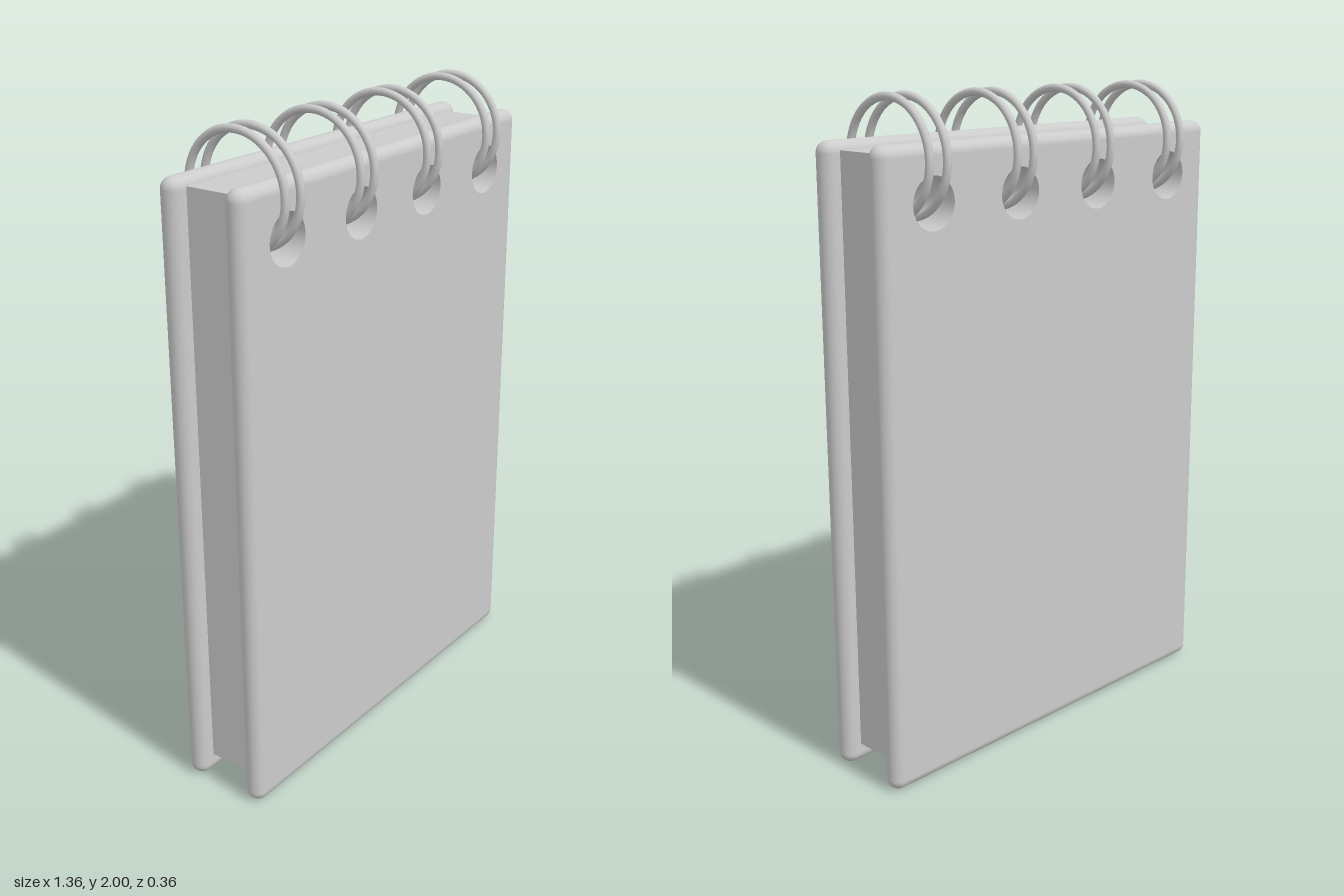
import * as THREE from 'three';

const mat = new THREE.MeshStandardMaterial({ color: 0xcccccc, side: THREE.DoubleSide });
const HOLES = [-0.495, -0.165, 0.165, 0.495];
const HOLE_Y = 1.71, HOLE_R = 0.075;
const COVER_W = 0.68, COVER_H = 1.872, R = 0.034, COVER_Z = 0.112;

function add(parent, name, geometry) {
  const mesh = new THREE.Mesh(geometry, mat);
  mesh.name = name;
  parent.add(mesh);
  return mesh;
}

// Rectangle with the row of ring holes punched through it
function punchedRect(x, y0, y1) {
  const s = new THREE.Shape();
  s.moveTo(-x, y0).lineTo(x, y0).lineTo(x, y1).lineTo(-x, y1).closePath();
  for (const hx of HOLES) s.holes.push(new THREE.Path().absarc(hx, HOLE_Y, HOLE_R, 0, Math.PI * 2, true));
  return s;
}

// Half-round border swept around the cover, with ball-shaped corners
function rimGeometry(x, y0, y1) {
  const corners = [[x, y1], [-x, y1], [-x, y0], [x, y0]];
  const steps = 8, rows = 12, cols = 4 * (steps + 1);
  const pos = [], nor = [], idx = [];
  for (let j = 0; j <= rows; j++) {
    const phi = (j / rows - 0.5) * Math.PI;
    corners.forEach(([cx, cy], c) => {
      for (let i = 0; i <= steps; i++) {
        const t = (c + i / steps) * Math.PI / 2;
        const n = [Math.cos(phi) * Math.cos(t), Math.cos(phi) * Math.sin(t), Math.sin(phi)];
        nor.push(...n);
        pos.push(cx + R * n[0], cy + R * n[1], R * n[2]);
      }
    });
  }
  for (let j = 0; j < rows; j++) {
    for (let i = 0; i < cols; i++) {
      const k = (i + 1) % cols;
      const a = j * cols + i, b = j * cols + k, c = a + cols, d = b + cols;
      idx.push(a, b, d, a, d, c);
    }
  }
  const g = new THREE.BufferGeometry();
  g.setAttribute('position', new THREE.Float32BufferAttribute(pos, 3));
  g.setAttribute('normal', new THREE.Float32BufferAttribute(nor, 3));
  g.setIndex(idx);
  return g;
}

function makeCover(name, z) {
  const cover = new THREE.Group();
  cover.name = name;
  cover.position.z = z;
  const x = COVER_W - R, y0 = R, y1 = COVER_H - R;
  add(cover, 'coverRim', rimGeometry(x, y0, y1));
  const face = new THREE.ShapeGeometry(punchedRect(x, y0, y1), 24);
  add(cover, 'coverFrontFace', face).position.z = R;
  const back = add(cover, 'coverBackFace', face);
  back.rotation.y = Math.PI; // hole row is symmetric, so a half turn still lines up
  back.position.z = -R;
  for (const hx of HOLES) {
    const wall = new THREE.CylinderGeometry(HOLE_R, HOLE_R, 2 * R, 48, 1, true).rotateX(Math.PI / 2);
    add(cover, 'coverHoleWall', wall).position.set(hx, HOLE_Y, 0);
  }
  return cover;
}

export function createModel() {
  const notepad = new THREE.Group();
  notepad.name = 'notepad';

  // Front and back covers
  notepad.add(makeCover('frontCover', COVER_Z), makeCover('backCover', -COVER_Z));

  // Block of pages between the covers
  const depth = 2 * (COVER_Z - R);
  const pages = new THREE.ExtrudeGeometry(punchedRect(0.632, 0.063, 1.846), { depth, bevelEnabled: false, curveSegments: 24 });
  add(notepad, 'pages', pages).position.z = -depth / 2;

  // Pairs of binding rings through each hole
  const ring = new THREE.TorusGeometry(0.166, 0.012, 16, 64).rotateY(Math.PI / 2);
  for (const hx of HOLES) {
    for (const side of [-1, 1]) {
      add(notepad, 'bindingRing', ring).position.set(hx + side * 0.032, 1.822, 0);
    }
  }
  return notepad;
}
